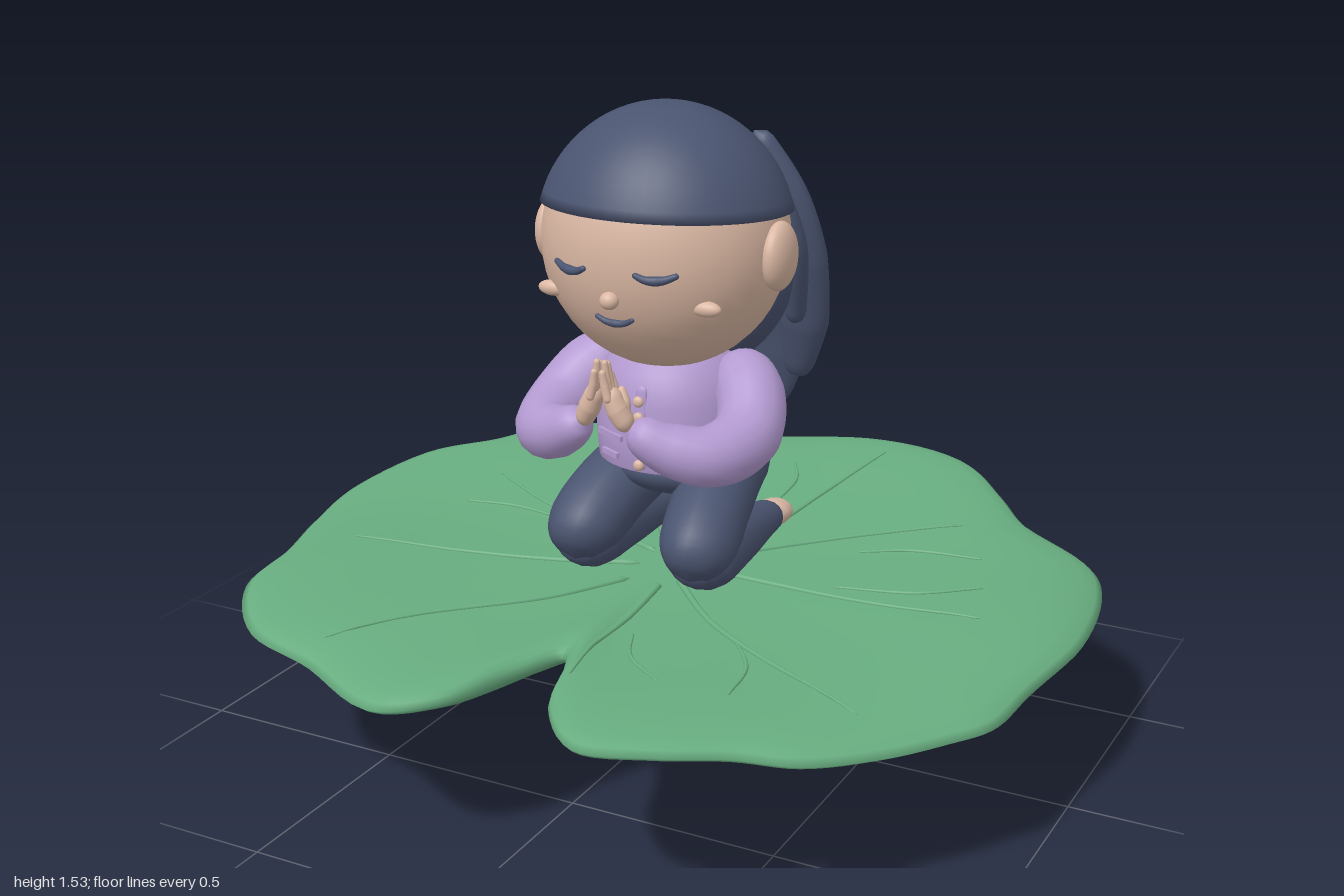
import * as THREE from 'three';
import { mergeVertices } from 'three/addons/utils/BufferGeometryUtils.js';

const mat = (name, color, side = THREE.FrontSide) =>
  Object.assign(new THREE.MeshStandardMaterial({ color, side }), { name });
const V = (p) => new THREE.Vector3(...p);

// Rounded, tapering tube through points; radii are spread evenly along it
function limb(points, radii, squash = [1, 1, 1], round = true) {
  const n = 40, m = 16;
  const curve = new THREE.CatmullRomCurve3(points.map(V));
  const geo = new THREE.TubeGeometry(curve, n, 1, m);
  const pos = geo.attributes.position, len = curve.getLength(), s = V(squash), v = new THREE.Vector3();
  for (let i = 0; i <= n; i++) {
    const u = i / n, k = u * (radii.length - 1), a = Math.min(Math.floor(k), radii.length - 2);
    let r = THREE.MathUtils.lerp(radii[a], radii[a + 1], k - a);
    const d = Math.min(u, 1 - u) * len;
    if (round && d < r) r = Math.sqrt(Math.max(r * r - (r - d) ** 2, 1e-8));
    const c = curve.getPointAt(u);
    for (let j = 0; j <= m; j++) {
      const q = i * (m + 1) + j;
      v.fromBufferAttribute(pos, q).sub(c).multiplyScalar(r).multiply(s).add(c);
      pos.setXYZ(q, v.x, v.y, v.z);
    }
  }
  geo.deleteAttribute('uv');
  geo.deleteAttribute('normal');
  const out = mergeVertices(geo, 1e-5);
  out.computeVertexNormals();
  return out;
}
const ball = (c, r) => new THREE.SphereGeometry(1, 32, 24).scale(...r).translate(...c);
const mirror = (pts, s) => pts.map(([x, y, z]) => [x * s, y, z]);

// Leaf outline as x, z pairs, starting at the notch
const OUTLINE = [[.035, .59], [.08, .67], [.14, .83], [.28, .965], [.43, .915], [.56, .83], [.68, .775], [.8, .64],
  [.885, .51], [.945, .4], [.965, .24], [.995, -.05], [.95, -.35], [.885, -.48], [.67, -.626], [.564, -.75],
  [.4, -.91], [.11, -.975], [-.21, -.91], [-.4, -.9], [-.585, -.8], [-.746, -.64], [-.81, -.5], [-.944, -.35],
  [-1, -.07], [-.944, .16], [-.853, .4], [-.8, .615], [-.64, .8], [-.45, .855], [-.21, .957], [-.1, .88], [-.024, .695]];
const SEG = 192;
const rim = new THREE.CatmullRomCurve3(OUTLINE.map(([x, z]) => V([x, 0, z])), true).getPoints(SEG);
const TOP = [[0, .41], [.2, .41], [.4, .413], [.6, .42], [.75, .428], [.87, .43], [.95, .422], [.985, .412], [1, .4]];
const UNDER = [[.985, .388], [.95, .378], [.87, .366], [.75, .351], [.6, .332], [.4, .314], [.2, .306], [0, .306]];
// Ripples towards the rim, a raised back and a drooping left edge
const wave = (x, z, f) => f ** 3 * (.016 * Math.sin(5 * Math.atan2(x, z)) + .015 * Math.max(-z, 0))
  - .045 * Math.max(x, 0) ** 6;

function leafGeometry() {
  const prof = [...UNDER].reverse().concat([...TOP].reverse());
  const geo = new THREE.LatheGeometry(prof.map(([x, y]) => new THREE.Vector2(x, y)), SEG);
  const pos = geo.attributes.position, k = prof.length;
  for (let i = 0; i <= SEG; i++) {
    for (let j = 0; j < k; j++) {
      const f = prof[j][0], x = rim[i].x * f, z = rim[i].z * f;
      pos.setXYZ(i * k + j, x, prof[j][1] + wave(x, z, f), z);
    }
  }
  geo.computeVertexNormals();
  return geo;
}
// Height of the leaf's upper face
function leafTop(x, z) {
  const a = Math.atan2(x, z);
  let best = rim[0], gap = 9;
  for (const p of rim) {
    const d = Math.abs(Math.sin((Math.atan2(p.x, p.z) - a) / 2));
    if (d < gap) { gap = d; best = p; }
  }
  const f = Math.min(Math.hypot(x, z) / Math.hypot(best.x, best.z), .999);
  const i = TOP.findIndex((t) => t[0] > f), [f0, y0] = TOP[i - 1], [f1, y1] = TOP[i];
  return y0 + (y1 - y0) * (f - f0) / (f1 - f0) + wave(x, z, f);
}
// Long veins start near the middle; short curved ones lie between them
const VEINS = [
  [[-.05, -.06], [-.2, -.28], [-.34, -.52], [-.43, -.75]], [[.05, -.06], [.12, -.3], [.155, -.55], [.205, -.845]],
  [[.08, -.06], [.26, -.25], [.42, -.39], [.555, -.49]], [[.08, .02], [.3, .035], [.55, .045], [.785, .025]],
  [[.06, .1], [.24, .29], [.45, .43], [.71, .56]], [[.04, .15], [.07, .36], [.085, .55], [.12, .71]],
  [[-.04, .15], [-.15, .34], [-.33, .55], [-.465, .77]], [[-.06, .06], [-.25, .14], [-.5, .22], [-.735, .275]],
  [[-.06, -.02], [-.24, -.09], [-.45, -.165], [-.66, -.275]], [[-.18, -.6], [-.205, -.5], [-.175, -.37]],
  [[0, -.7], [.05, -.6], [.065, -.44]], [[.38, -.235], [.5, -.295], [.665, -.31]],
  [[.41, -.01], [.6, -.05], [.73, -.14]], [[-.64, -.08], [-.52, -.11], [-.36, -.1]],
  [[.33, .35], [.42, .48], [.45, .63]], [[.12, .43], [.18, .55], [.29, .64]]];

export function createModel() {
  const green = mat('leaf green', 0x68ad80, THREE.DoubleSide);
  const skin = mat('skin', 0xdab7a3), navy = mat('navy', 0x4a5470);
  const lilac = mat('lilac', 0xb49bd2, THREE.DoubleSide);
  const root = new THREE.Group(), figure = new THREE.Group();
  figure.name = 'kneelingFigure';
  figure.position.x = .01;
  root.add(figure);
  const add = (name, geo, material, parent = figure) => {
    const m = new THREE.Mesh(geo, material);
    m.name = name;
    parent.add(m);
    return m;
  };

  // Lily pad
  add('leaf', leafGeometry(), green, root);
  add('stem', limb([[.01, .325, .02], [.005, .27, .02], [-.035, .16, 0], [-.085, .008, -.035]],
    [.045, .047, .028, .038, .036, .032, .028, .025], [1, 1, 1], false), green, root);
  add('stemEnd', ball([-.085, .01, -.035], [.025, .01, .025]), green, root);
  for (const line of VEINS) {
    const path = new THREE.CatmullRomCurve3(line.map(([x, z]) => V([x, 0, z]))).getPoints(12)
      .map((p) => [p.x, leafTop(p.x, p.z) + .001, p.z]);
    add('vein', limb(path, line.length > 3 ? [.009, .007, .005, .003] : [.003, .005, .003]), green, root);
  }

  // Head and face
  const H = [0, 1.22, .06], R = [.285, .295, .27];
  const faceZ = (x, y) => H[2] + R[2] * Math.sqrt(1 - (x / R[0]) ** 2 - ((y - H[1]) / R[1]) ** 2);
  const onFace = (pts) => pts.map(([x, y]) => [x, y, faceZ(x, y) + .003]);
  add('head', ball(H, R), skin);
  add('nose', ball([0, 1.135, faceZ(0, 1.135) + .006], [.022, .02, .02]), skin);
  add('mouth', limb(onFace([[-.048, 1.093], [-.02, 1.08], [.02, 1.08], [.048, 1.093]]), [.005, .009, .005]), navy);
  for (const s of [-1, 1]) {
    add('closedEye', limb(onFace([[.058, 1.202], [.085, 1.19], [.12, 1.19], [.152, 1.202]].map(([x, y]) => [x * s, y])),
      [.006, .011, .006]), navy);
    add('cheek', ball([s * .19, 1.12, faceZ(.19, 1.12)], [.037, .018, .018]), skin);
    add('ear', ball([s * .285, 1.21, .07], [.035, .078, .066]), skin);
  }
  add('neck', new THREE.CylinderGeometry(.08, .09, .12, 24).translate(0, .97, .02), skin);

  // Hair cap with a closed lower edge, tipped up at the forehead
  const cap = [[.85, .23]];
  for (let i = 0; i <= 16; i++) {
    const t = 1.32 * (1 - i / 16);
    cap.push([Math.sin(t), Math.cos(t)]);
  }
  const capGeo = new THREE.LatheGeometry(cap.map(([x, y]) => new THREE.Vector2(x, y)), 48);
  add('hairCap', capGeo.scale(.298, .306, .281).rotateX(-.06).translate(...H), navy);
  // Back hair: smooth mass, broad lower locks and two raised locks per side
  add('backHair', ball([0, 1.17, -.065], [.262, .29, .155]), navy);
  add('centerLock', limb([[0, 1.4, -.1], [0, 1.2, -.165], [0, .95, -.22], [0, .73, -.242]],
    [.09, .13, .14, .13, .09], [1, 1, .32]), navy);
  const locks = [
    [[[.2, 1.37, -.04], [.25, 1.2, -.08], [.235, 1.0, -.14]], [.036, .042, .032], [.7, 1, .9]],
    [[[.15, 1.45, -.08], [.225, 1.28, -.12], [.235, 1.05, -.18], [.2, .84, -.225]], [.035, .055, .075, .075, .04], [.85, 1, .6]],
    [[[.09, 1.35, -.1], [.13, 1.15, -.165], [.14, .95, -.215], [.115, .75, -.24]], [.07, .09, .1, .09, .05], [1, 1, .4]]];
  for (const s of [-1, 1])
    for (const [pts, radii, squash] of locks) add('hairLock', limb(mirror(pts, s), radii, squash), navy);

  // Jacket, buttons and pockets
  const coat = [[.0, .7], [.165, .69], [.18, .695], [.185, .76], [.182, .85], [.165, .92], [.12, .97], [.07, 1.0]];
  add('jacket', new THREE.LatheGeometry(coat.map(([x, y]) => new THREE.Vector2(x, y)), 40)
    .scale(1, 1, .95).translate(0, 0, .015), lilac);
  add('placket', limb([[0, .7, .187], [0, .78, .191], [0, .9, .178]], [.014, .014, .014], [1, 1, .4]), lilac);
  for (let i = 0; i < 5; i++) add('button', ball([0, .715 + i * .038, .196], [.013, .013, .009]), skin);
  for (const s of [-1, 1]) {
    for (const [name, y, w] of [['pocketFlap', .77, .09], ['pocketHem', .725, .06]]) {
      const strip = add(name, new THREE.BoxGeometry(w, .013, .009), lilac);
      strip.position.set(s * .085, y, .173);
      strip.rotation.y = s * .48;
    }
  }

  for (const s of [-1, 1]) {
    const part = (name, pts, radii, material, squash) => add(name, limb(mirror(pts, s), radii, squash), material);
    // Arms and pressed hands
    part('sleeve', [[.12, .925, -.01], [.2, .88, .04], [.24, .81, .13], [.21, .79, .25], [.13, .815, .31], [.055, .865, .345]],
      [.07, .08, .078, .072, .06, .038], lilac);
    part('palm', [[.06, .855, .345], [.035, .9, .353], [.014, .95, .356]], [.025, .03, .024], skin, [.8, 1, .9]);
    for (let i = 0; i < 4; i++) {
      const z = .338 + i * .012, tip = [.985, 1.01, 1.015, .995][i];
      part('finger', [[.024, .92, z], [.014, .96, z], [.009, tip, z + .003]], [.01, .01, .007], skin);
    }
    part('thumb', [[.05, .88, .345], [.045, .92, .34], [.032, .95, .335]], [.011, .012, .008], skin);

    // Folded legs and feet
    part('thigh', [[.085, .66, -.19], [.105, .645, -.05], [.13, .6, .09], [.147, .535, .19], [.148, .475, .24]],
      [.085, .092, .096, .096, .09], navy, [.97, .95, 1]);
    part('shin', [[.15, .51, .245], [.148, .505, .12], [.14, .488, -.06], [.13, .47, -.25]],
      [.088, .086, .072, .055, .042], navy, [1, .88, 1]);
    part('foot', [[.13, .468, -.2], [.128, .466, -.26], [.125, .462, -.32]], [.035, .042, .036], skin, [1.1, .75, 1]);
  }
  add('hips', ball([0, .67, -.02], [.18, .075, .165]), navy);
  return root;
}
